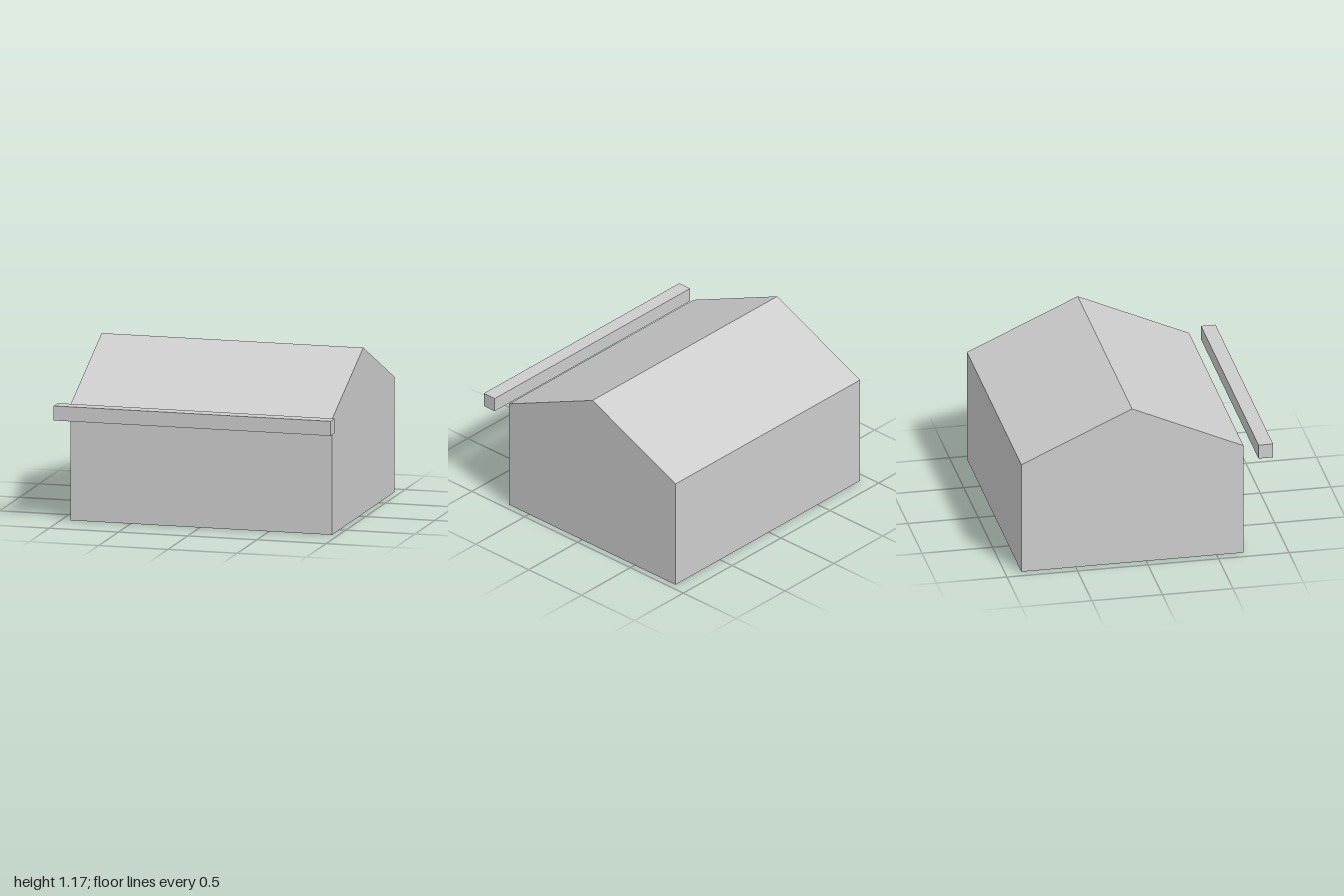
import * as THREE from 'three';

const LEFT = 0.955, RIGHT = -0.935;

// House section as [z, y], from the front foot over the ridge to the back foot
const SECTION = [[0.69, 0], [0.69, 0.82], [-0.1, 1.175], [-0.885, 0.82], [-0.885, 0]];

// Flat panel spanning the house length between two section points
function panel([z0, y0], [z1, y1]) {
  const g = new THREE.BufferGeometry();
  g.setAttribute('position', new THREE.Float32BufferAttribute([
    RIGHT, y0, z0, LEFT, y0, z0, LEFT, y1, z1, RIGHT, y1, z1,
  ], 3));
  g.setIndex([0, 1, 2, 0, 2, 3]);
  g.computeVertexNormals();
  return g;
}

// Gable end wall; side is +1 for the left end and -1 for the right end
function gable(side) {
  const shape = new THREE.Shape(SECTION.map(([z, y]) => new THREE.Vector2(-side * z, y)));
  const g = new THREE.ShapeGeometry(shape);
  g.rotateY(side * Math.PI / 2);
  g.translate(side > 0 ? LEFT : RIGHT, 0, 0);
  return g;
}

export function createModel() {
  const group = new THREE.Group();
  const grey = new THREE.MeshStandardMaterial({ color: 0xcccccc, side: THREE.DoubleSide });
  grey.name = 'light grey';

  const add = (name, geometry) => {
    const mesh = new THREE.Mesh(geometry, grey);
    mesh.name = name;
    group.add(mesh);
    return mesh;
  };

  // Thin open-bottomed shell: walls and roof slopes
  ['frontWall', 'frontRoof', 'backRoof', 'backWall'].forEach((name, i) =>
    add(name, panel(SECTION[i], SECTION[i + 1])));
  add('leftGable', gable(1));
  add('rightGable', gable(-1));

  // Free-standing beam in front of the eave
  add('frontBeam', new THREE.BoxGeometry(2, 0.103, 0.103)).position.set(0, 0.793, 0.835);

  return group;
}
